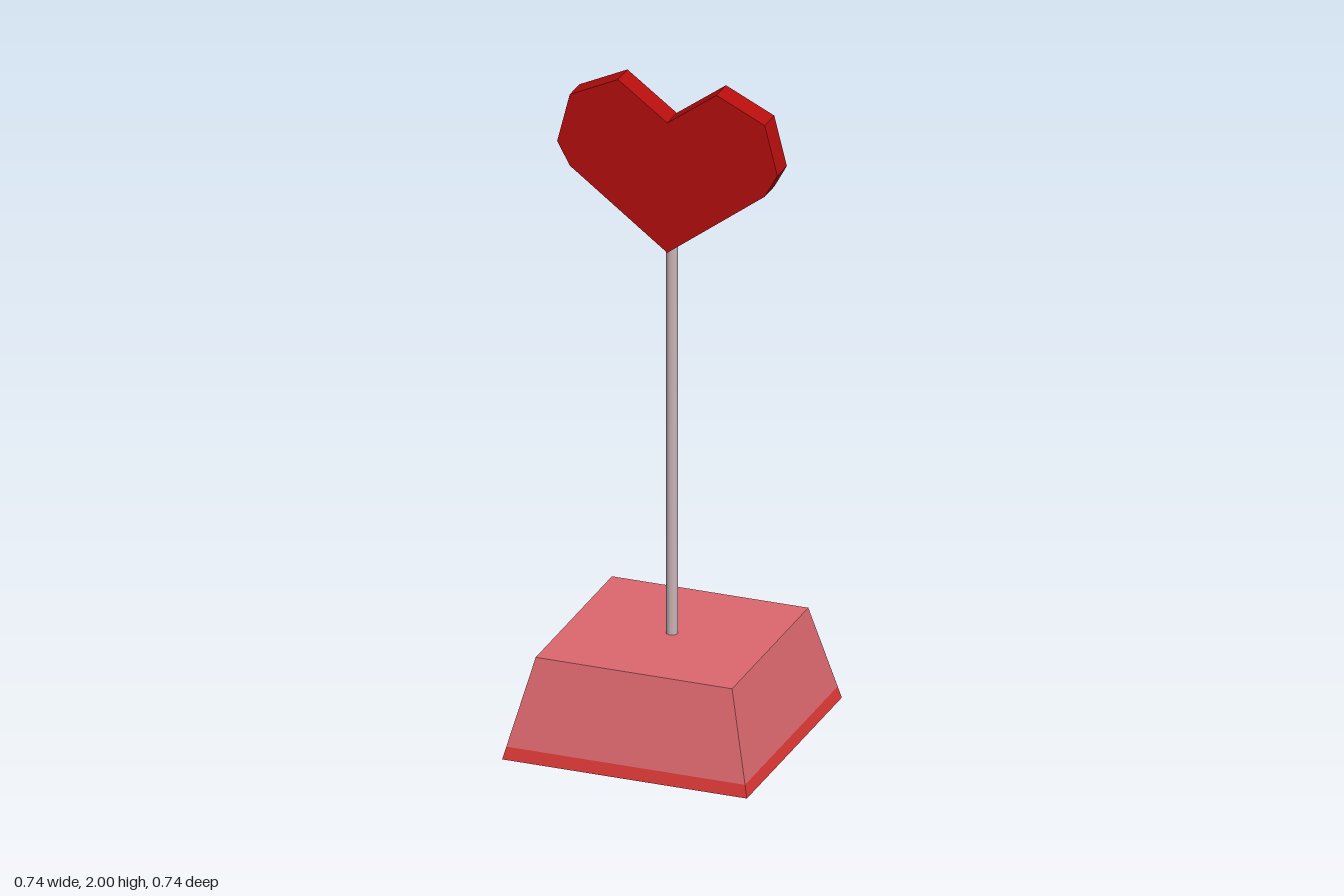
import * as THREE from 'three';

const colour = (name, hex) => {
  const m = new THREE.MeshStandardMaterial({ color: hex });
  m.name = name;
  return m;
};

// Square, flat-sided solid from [half width, height] pairs, listed bottom to top
function squareLathe(profile) {
  const points = profile.map(([half, y]) => new THREE.Vector2(half * Math.SQRT2, y));
  const geometry = new THREE.LatheGeometry(points, 4, Math.PI / 4).toNonIndexed();
  geometry.computeVertexNormals();
  return geometry;
}

export function createModel() {
  const group = new THREE.Group();
  const pink = colour('pink', 0xdc686e);
  const red = colour('bright red', 0xdd3835);
  const heartRed = colour('deep red', 0xb80e0e);
  const metal = colour('pale rod', 0xcdb6ba);

  const add = (name, geometry, material) => {
    const mesh = new THREE.Mesh(geometry, material);
    mesh.name = name;
    group.add(mesh);
    return mesh;
  };

  // Tapered base with a red rim at its foot
  add('baseUnderside', squareLathe([[0, 0], [0.37, 0]]), pink);
  add('baseRim', squareLathe([[0.37, 0], [0.361, 0.037]]), red);
  add('baseBody', squareLathe([[0.361, 0.037], [0.297, 0.297], [0, 0.297]]), pink);

  // Thin rod, ending inside the heart's tip
  const rod = add('rod', new THREE.CylinderGeometry(0.018, 0.018, 1.22, 8), metal);
  rod.position.y = 0.297 + 0.61;

  // Faceted heart, mirrored about x = 0
  const half = [[0.295, 1.71], [0.333, 1.78], [0.295, 1.93], [0.149, 2]];
  const outline = [
    [0, 1.488], ...half, [0, 1.89],
    ...half.map(([x, y]) => [-x, y]).reverse(),
  ].map(([x, y]) => new THREE.Vector2(x, y));
  const heart = new THREE.ExtrudeGeometry(new THREE.Shape(outline), {
    depth: 0.074, bevelEnabled: false,
  });
  heart.translate(0, 0, -0.037);
  add('heart', heart, heartRed);

  return group;
}
